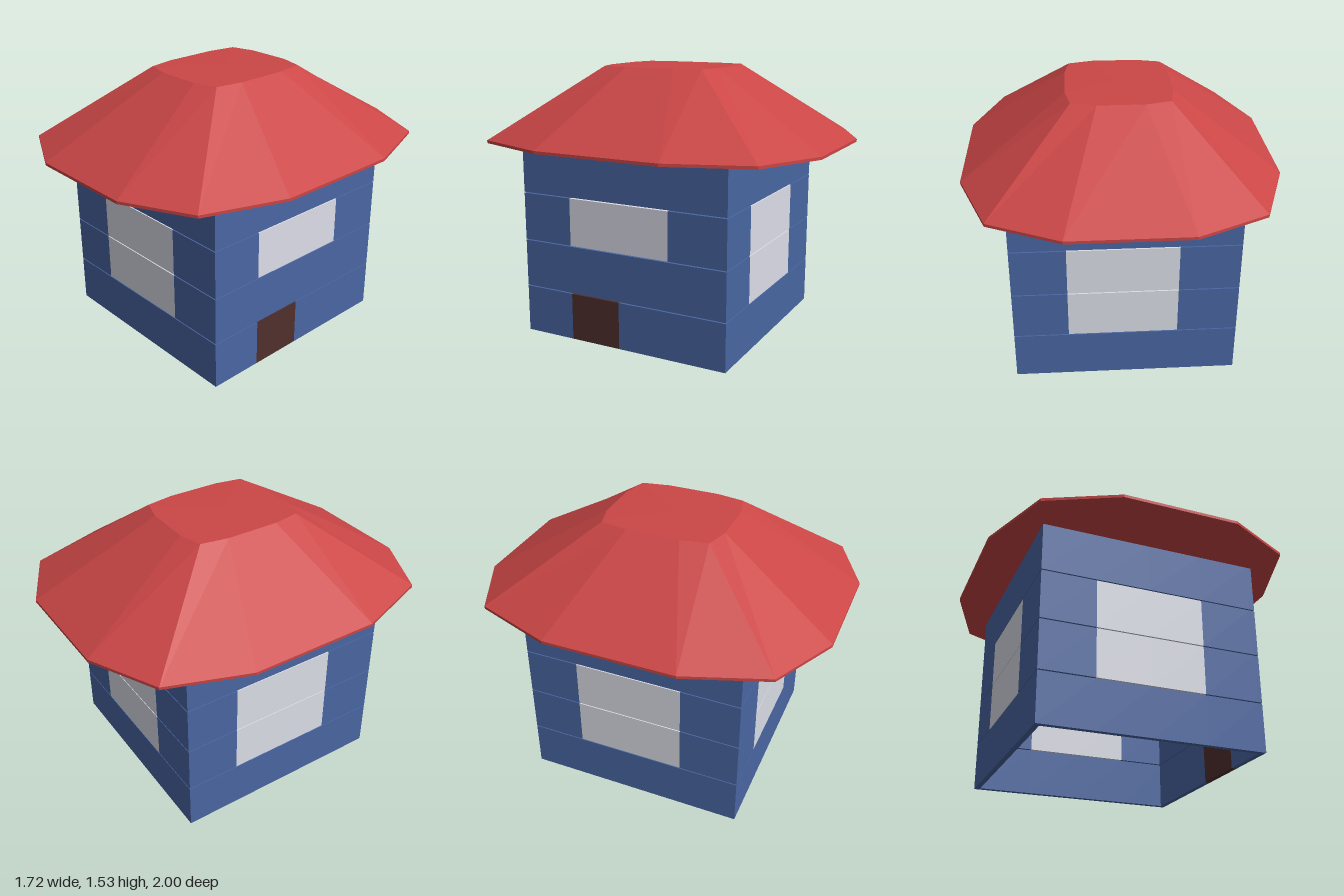
import * as THREE from 'three';

const paint = (color) => new THREE.MeshStandardMaterial({ color, flatShading: true });

// Mirrors three quadrant points into a closed 12-sided outline.
function ring(quadrant, y, scale = 1) {
  const back = [...quadrant].reverse();
  const points = [
    ...quadrant,
    ...back.map(([x, z]) => [-x, z]),
    ...quadrant.map(([x, z]) => [-x, -z]),
    ...back.map(([x, z]) => [x, -z]),
  ];
  return points.map(([x, z]) => new THREE.Vector3(x * scale, y, z * scale));
}

// Joins outlines from bottom to top; a ring of scale 0 closes an end.
function loft(rings) {
  const corners = [];
  const addTriangle = (a, b, c) => {
    if (a.equals(b) || b.equals(c) || a.equals(c)) return;
    corners.push(a, b, c);
  };
  for (let r = 0; r < rings.length - 1; r++) {
    const low = rings[r], high = rings[r + 1];
    for (let i = 0; i < low.length; i++) {
      const j = (i + 1) % low.length;
      addTriangle(low[i], high[i], low[j]);
      addTriangle(low[j], high[i], high[j]);
    }
  }
  const geometry = new THREE.BufferGeometry().setFromPoints(corners);
  geometry.computeVertexNormals();
  return geometry;
}

export function createModel() {
  const house = new THREE.Group();
  house.name = 'house';

  const blue = paint(0x4966a2);
  const glass = paint(0xdcdee8);
  const brown = paint(0x4f2f2d);
  const red = paint(0xcb4646);

  // Walls: four rows of four panels, each wall starting at its own left corner
  const thick = 0.03, rowStep = 0.277, rowHeight = 0.271;
  const halfX = 0.6225, halfZ = 0.63;
  const walls = new THREE.Group();
  walls.name = 'walls';
  walls.position.set(-0.0075, 0, 0.005);
  house.add(walls);

  const bigWindow = (row, col) => (row === 1 || row === 2) && (col === 1 || col === 2);
  const wideWindow = (row, col) => row === 2 && (col === 1 || col === 2);
  const sides = [
    { name: 'frontWall', half: halfX, depth: halfZ, hasWindow: bigWindow },
    { name: 'leftWall', half: halfZ, depth: halfX, hasWindow: wideWindow, hasDoor: true },
    { name: 'backWall', half: halfX, depth: halfZ, hasWindow: bigWindow },
    { name: 'rightWall', half: halfZ, depth: halfX, hasWindow: bigWindow },
  ];
  sides.forEach(({ name, half, depth, hasWindow, hasDoor }, side) => {
    const wall = new THREE.Group();
    wall.name = name;
    wall.rotation.y = side * Math.PI / 2;
    const width = (2 * half - thick) / 4;
    const geometry = new THREE.BoxGeometry(width, rowHeight, thick);
    for (let row = 0; row < 4; row++) {
      for (let col = 0; col < 4; col++) {
        const isDoor = hasDoor && row === 0 && col === 1;
        const isWindow = hasWindow(row, col);
        const panel = new THREE.Mesh(geometry, isDoor ? brown : isWindow ? glass : blue);
        panel.name = isDoor ? 'door' : isWindow ? 'window' : 'wallPanel';
        panel.position.set(-half + (col + 0.5) * width, row * rowStep + rowHeight / 2, depth - thick / 2);
        wall.add(panel);
      }
    }
    walls.add(wall);
  });

  // Roof: wide faceted eaves rising to a small flat top
  const eaves = [[0.86, 0.37], [0.70, 0.815], [0.32, 1]];
  const crown = [[0.292, 0.15], [0.265, 0.305], [0.13, 0.342]];
  const roof = new THREE.Mesh(loft([
    ring(eaves, 1.094, 0),
    ring(eaves, 1.108),
    ring(eaves, 1.124),
    ring(crown, 1.527),
    ring(crown, 1.53, 0),
  ]), red);
  roof.name = 'roof';
  house.add(roof);

  return house;
}
